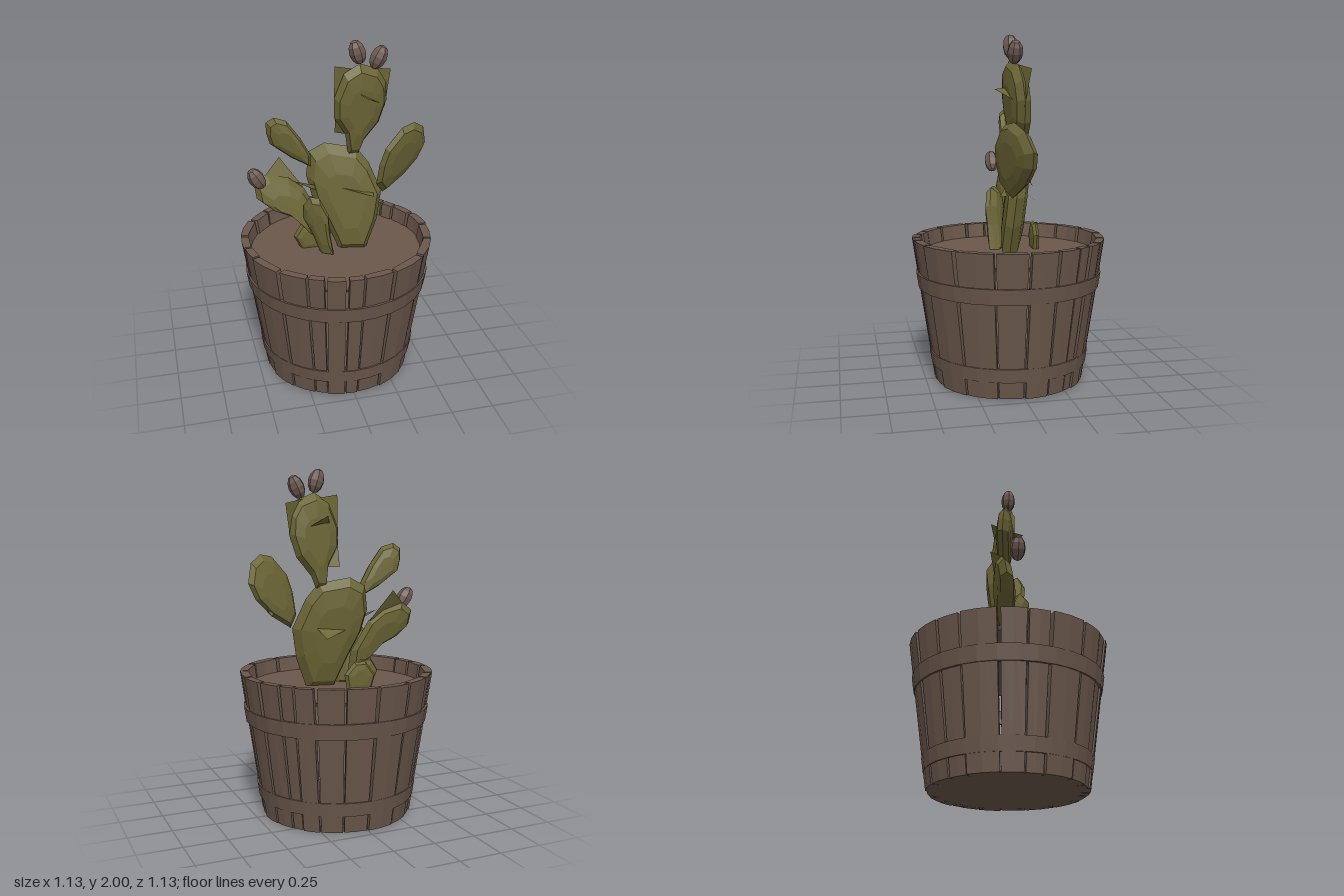
import * as THREE from 'three';

const wood = new THREE.MeshStandardMaterial({ color: 0x6b584c, flatShading: true, side: THREE.DoubleSide });
wood.name = 'weathered wood';
const green = new THREE.MeshStandardMaterial({ color: 0x6b6535, flatShading: true, side: THREE.DoubleSide });
green.name = 'cactus green';
const fruitBrown = new THREE.MeshStandardMaterial({ color: 0x6e5a51, flatShading: true });
fruitBrown.name = 'fruit brown';

function add(parent, name, geometry, material) {
  const mesh = new THREE.Mesh(geometry, material);
  mesh.name = name;
  parent.add(mesh);
  return mesh;
}

// Closed solid through rings of [x, y, z] points, facing outward
function loft(rings) {
  const n = rings[0].length, tris = [];
  for (let r = 0; r + 1 < rings.length; r++) {
    for (let i = 0; i < n; i++) {
      const j = (i + 1) % n, a = rings[r], b = rings[r + 1];
      tris.push([a[i], a[j], b[j]], [a[i], b[j], b[i]]);
    }
  }
  const last = rings[rings.length - 1];
  for (let i = 1; i + 1 < n; i++) {
    tris.push([rings[0][0], rings[0][i + 1], rings[0][i]], [last[0], last[i], last[i + 1]]);
  }
  const v = (p) => new THREE.Vector3(...p);
  const origin = v(rings[0][0]);
  let volume = 0;
  for (const t of tris) {
    const [a, b, c] = t.map((p) => v(p).sub(origin));
    volume += a.dot(b.cross(c));
  }
  if (volume < 0) tris.forEach((t) => t.reverse());
  return surface(tris);
}

function surface(tris) {
  const g = new THREE.BufferGeometry();
  g.setAttribute('position', new THREE.Float32BufferAttribute(tris.flat(2), 3));
  g.computeVertexNormals();
  return g;
}

// Flattened pad: outline in x,y; plane z = z0 + a(x - cx) + b(y - cy)
function pad(parent, name, outline, half, z0, a, b) {
  const xs = outline.map((p) => p[0]), ys = outline.map((p) => p[1]);
  const cx = (Math.min(...xs) + Math.max(...xs)) / 2;
  const cy = (Math.min(...ys) + Math.max(...ys)) / 2;
  const ring = (s, dz) => outline.map(([x, y]) => {
    const px = cx + (x - cx) * s, py = cy + (y - cy) * s;
    return [px, py, z0 + a * (px - cx) + b * (py - cy) + dz * half];
  });
  const layers = [[0.5, -1], [0.84, -0.72], [1, 0], [0.84, 0.72], [0.5, 1]];
  add(parent, name, loft(layers.map(([s, d]) => ring(s, d))), green);
}

function buildPot() {
  const pot = new THREE.Group();
  pot.name = 'pot';

  // Staves of uneven width, with narrow gaps; angles in degrees from +x towards +z
  const joints = [0, 19, 43, 69, 87, 97, 110, 120, 138, 161, 174, 190, 213, 228, 248, 270, 288, 305, 318, 327, 342, 360];
  for (let i = 0; i + 1 < joints.length; i++) {
    const gapTop = 0.5 + 0.4 * (i % 3), gapBottom = 0.4 + 0.3 * ((i + 1) % 2);
    const shift = 0.004 * ((i % 3) - 1);
    const ring = (y, inner, outer, gap) => {
      const a0 = THREE.MathUtils.degToRad(joints[i] + gap);
      const a1 = THREE.MathUtils.degToRad(joints[i + 1] - gap);
      return [[a0, inner], [a0, outer], [(a0 + a1) / 2, outer], [a1, outer], [a1, inner], [(a0 + a1) / 2, inner]]
        .map(([t, r]) => [Math.cos(t) * (r + shift), y, Math.sin(t) * (r + shift)]);
    };
    add(pot, 'stave', loft([ring(0, 0.395, 0.44, gapBottom), ring(0.84, 0.52, 0.564, gapTop)]), wood);
  }

  // Hoops
  for (const [y0, y1, r0, r1] of [[0.1, 0.18, 0.461, 0.473], [0.555, 0.645, 0.532, 0.546]]) {
    const profile = [[r0 - 0.02, y0], [r0, y0], [r1, y1], [r1 - 0.02, y1], [r0 - 0.02, y0]];
    add(pot, 'hoop', new THREE.LatheGeometry(profile.map((p) => new THREE.Vector2(...p)), 32), wood);
  }

  // Soil and base
  add(pot, 'soil', new THREE.CylinderGeometry(0.515, 0.505, 0.02, 32), wood).position.y = 0.745;
  add(pot, 'base', new THREE.CylinderGeometry(0.43, 0.425, 0.03, 32), wood).position.y = 0.016;
  return pot;
}

function buildCactus() {
  const cactus = new THREE.Group();
  cactus.name = 'cactus';

  pad(cactus, 'mainPad', [[0.02, 0.73], [-0.05, 0.9], [-0.13, 1.07], [-0.16, 1.2], [-0.14, 1.34], [-0.05, 1.39],
    [0.13, 1.36], [0.2, 1.27], [0.27, 1.1], [0.24, 0.92], [0.17, 0.73]], 0.065, -0.03, 0.2, -0.12);
  pad(cactus, 'topPad', [[0.08, 1.32], [0.06, 1.45], [-0.01, 1.56], [-0.015, 1.68], [0.04, 1.82], [0.13, 1.87],
    [0.24, 1.83], [0.29, 1.75], [0.3, 1.64], [0.26, 1.51], [0.17, 1.4], [0.14, 1.32]], 0.055, -0.02, -0.1, 0.1);
  pad(cactus, 'leftPad', [[0.22, 1.17], [0.23, 1.3], [0.26, 1.4], [0.36, 1.51], [0.44, 1.525], [0.51, 1.48],
    [0.54, 1.37], [0.5, 1.28], [0.4, 1.18], [0.27, 1.1]], 0.05, 0.035, -0.45, 0.25);
  pad(cactus, 'upperRightPad', [[-0.39, 1.55], [-0.35, 1.58], [-0.28, 1.56], [-0.2, 1.45], [-0.14, 1.34],
    [-0.14, 1.27], [-0.25, 1.33], [-0.37, 1.42], [-0.39, 1.49]], 0.042, -0.045, 0.2, 0.1);
  pad(cactus, 'lowerRightPad', [[-0.47, 1.18], [-0.46, 1.1], [-0.38, 1.03], [-0.25, 0.97], [-0.15, 0.85],
    [-0.07, 0.8], [-0.08, 0.95], [-0.18, 1.13], [-0.27, 1.2], [-0.4, 1.23]], 0.05, -0.04, -0.05, -0.2);
  pad(cactus, 'frontPad', [[-0.2, 0.97], [-0.2, 1.06], [-0.17, 1.12], [-0.12, 1.12], [-0.07, 1.02],
    [-0.06, 0.9], [-0.03, 0.73], [-0.1, 0.73], [-0.15, 0.87]], 0.045, 0.055, 0.6, 0.15);
  pad(cactus, 'backShoot', [[-0.14, 0.73], [-0.17, 0.83], [-0.11, 0.91], [-0.04, 0.91], [0.02, 0.84],
    [0, 0.73]], 0.024, -0.174, 0.05, 0);
  pad(cactus, 'sideShoot', [[-0.25, 0.83], [-0.2, 0.91], [-0.13, 0.91], [-0.08, 0.82], [-0.1, 0.73],
    [-0.2, 0.73]], 0.035, -0.05, 0, 0);

  // Flat thorn blades, one triangle each
  const thorns = [
    [[-0.01, 1.86, 0], [-0.01, 1.62, -0.01], [0.1, 1.84, 0]],
    [[0.33, 1.81, -0.06], [0.18, 1.84, 0], [0.29, 1.6, -0.03]],
    [[0.01, 1.45, -0.08], [0, 1.62, -0.02], [0.07, 1.45, -0.04]],
    [[0.14, 1.7, 0.11], [0.12, 1.71, 0.02], [0.25, 1.64, 0.02]],
    [[0.09, 1.74, -0.1], [0.06, 1.7, -0.05], [0.22, 1.66, -0.06]],
    [[-0.25, 1.19, -0.04], [-0.07, 1.14, -0.03], [-0.07, 1.1, -0.03]],
    [[0.2, 1.1, 0.09], [0, 1.15, 0.01], [0.22, 1.11, 0.02]],
    [[0.12, 1.05, -0.155], [-0.15, 1.13, -0.07], [0.16, 1.12, -0.06]],
    [[-0.31, 1.31, -0.13], [-0.43, 1.2, -0.06], [-0.18, 1.13, -0.08]],
    [[0.41, 1.18, -0.05], [0.36, 1.27, 0.02], [0.45, 1.25, 0]],
  ];
  thorns.forEach((t) => add(cactus, 'thorn', surface([t]), green));

  // Fruits
  for (const [x, y, tilt] of [[0.115, 1.935, 0.3], [0.235, 1.9, -0.45], [-0.463, 1.247, 0.55]]) {
    const fruit = add(cactus, 'fruit', new THREE.SphereGeometry(1, 7, 6), fruitBrown);
    fruit.scale.set(0.047, 0.07, 0.045);
    fruit.position.set(x, y, 0.012);
    fruit.rotation.z = tilt;
  }
  return cactus;
}

export function createModel() {
  const model = new THREE.Group();
  model.name = 'pottedCactus';
  model.add(buildPot(), buildCactus());
  return model;
}
